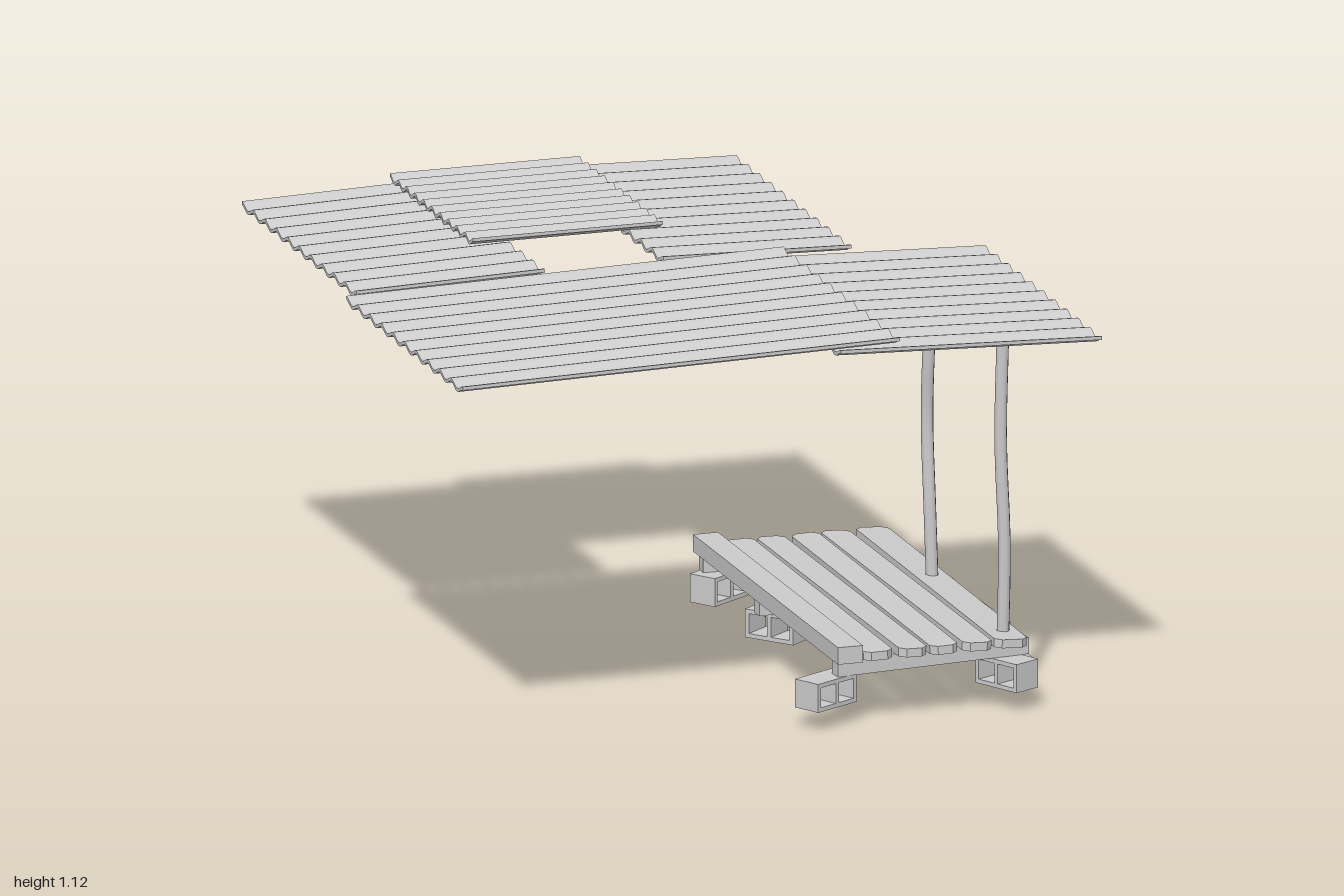
import * as THREE from 'three';

const material = new THREE.MeshStandardMaterial({ color: 0xcccccc });

function add(parent, name, geometry, x = 0, y = 0, z = 0) {
  const mesh = new THREE.Mesh(geometry, material);
  mesh.name = name;
  mesh.position.set(x, y, z);
  parent.add(mesh);
  return mesh;
}

// Corrugated sheet: wave profile along z, extruded along x, centred on the origin
function sheetGeometry(length, depth, waves = 10) {
  const amplitude = 0.008, half = 0.005, steps = waves * 8;
  const top = [], bottom = [];
  for (let i = 0; i <= steps; i++) {
    const u = (i / steps - 0.5) * depth;
    const y = amplitude * Math.cos((i / steps) * waves * Math.PI * 2);
    top.push(new THREE.Vector2(u, y + half));
    bottom.push(new THREE.Vector2(u, y - half));
  }
  const shape = new THREE.Shape([...bottom, ...top.reverse()]);
  return new THREE.ExtrudeGeometry(shape, { depth: length, bevelEnabled: false })
    .translate(0, 0, -length / 2).rotateY(Math.PI / 2);
}

// Hollow building block with two openings through its side
function blockGeometry() {
  const w = 0.155, h = 0.08, d = 0.085, wall = 0.012;
  const rect = (path, x0, y0, x1, y1) =>
    path.moveTo(x0, y0).lineTo(x1, y0).lineTo(x1, y1).lineTo(x0, y1).closePath();
  const shape = rect(new THREE.Shape(), -w / 2, -h / 2, w / 2, h / 2);
  for (const s of [-1, 1]) {
    const inner = s * wall / 2, outer = s * (w / 2 - wall);
    shape.holes.push(rect(new THREE.Path(),
      Math.min(inner, outer), -h / 2 + wall, Math.max(inner, outer), h / 2 - wall));
  }
  return new THREE.ExtrudeGeometry(shape, { depth: d, bevelEnabled: false }).translate(0, 0, -d / 2);
}

// Plank running along z with clipped corners
function plankGeometry(w, h, l) {
  const c = 0.018, x = w / 2, z = l / 2;
  const shape = new THREE.Shape([
    [-x + c, -z], [x - c, -z], [x, -z + c], [x, z - c],
    [x - c, z], [-x + c, z], [-x, z - c], [-x, -z + c],
  ].map(([a, b]) => new THREE.Vector2(a, b)));
  return new THREE.ExtrudeGeometry(shape, { depth: h, bevelEnabled: false })
    .translate(0, 0, -h / 2).rotateX(-Math.PI / 2);
}

function postGeometry(points) {
  const curve = new THREE.CatmullRomCurve3(points.map((p) => new THREE.Vector3(...p)));
  return new THREE.TubeGeometry(curve, 12, 0.018, 8);
}

export function createModel() {
  const model = new THREE.Group();
  model.name = 'shelter';

  // Roof sheets: x range, height at both ends, z range
  const roof = new THREE.Group();
  roof.name = 'roof';
  model.add(roof);
  const sheets = [
    ['frontLeftSheet', -0.92, 0.335, 1.073, 1.1, 0.01, 0.99],
    ['frontRightSheet', 0.165, 0.915, 1.079, 1.052, 0.01, 0.99],
    ['backLeftSheet', -0.885, -0.345, 1.08, 1.094, -0.97, -0.005],
    ['backRightSheet', -0.005, 0.535, 1.098, 1.083, -0.97, -0.005],
    ['backMiddleSheet', -0.45, 0.095, 1.112, 1.112, -1, -0.3],
  ];
  for (const [name, x0, x1, y0, y1, z0, z1] of sheets) {
    const sheet = add(roof, name, sheetGeometry(Math.hypot(x1 - x0, y1 - y0), z1 - z0),
      (x0 + x1) / 2, (y0 + y1) / 2, (z0 + z1) / 2);
    sheet.rotation.z = Math.atan2(y1 - y0, x1 - x0);
  }

  // Crooked posts
  add(model, 'frontPost', postGeometry([
    [0.69, 0.18, 0.815], [0.693, 0.45, 0.82], [0.684, 0.75, 0.815], [0.69, 1.058, 0.817]]));
  add(model, 'middlePost', postGeometry([
    [0.692, 0.18, 0.217], [0.688, 0.4, 0.207], [0.685, 0.65, 0.192],
    [0.683, 0.85, 0.213], [0.692, 1.058, 0.212]]));

  // Deck planks and kerb
  const deck = new THREE.Group();
  deck.name = 'deck';
  model.add(deck);
  const planks = [
    [0.305, 0.082, 0.02], [0.4, 0.08, -0.02], [0.494, 0.078, 0.03],
    [0.585, 0.084, -0.04], [0.686, 0.094, -0.05],
  ];
  planks.forEach(([x, w, roll], i) => {
    const plank = add(deck, 'plank', plankGeometry(w, 0.024, 1.21), x, 0.199, 0.31);
    plank.rotation.set(0, (i % 2 ? 1 : -1) * 0.004, roll);
  });
  add(deck, 'kerb', new THREE.BoxGeometry(0.072, 0.048, 1.22), 0.217, 0.21, 0.31);

  // Cross beams under the deck
  for (const [z, turn] of [[0.837, 0.1], [0.195, 0.05], [-0.25, -0.03]]) {
    add(deck, 'crossBeam', new THREE.BoxGeometry(0.57, 0.046, 0.04), 0.475, 0.164, z).rotation.y = turn;
  }

  // Foundation blocks: x, z, turn
  const blocks = [
    [0.165, 0.865, 0.5], [0.26, 0.18, -0.9], [0.24, -0.25, 0.6],
    [0.695, 0.835, -1.1], [0.7, 0.17, 1.1], [0.71, -0.26, 1.45],
  ];
  const blockShape = blockGeometry();
  for (const [x, z, turn] of blocks) {
    add(model, 'foundationBlock', blockShape, x, 0.101, z).rotation.y = turn;
  }

  // Leaning steps
  const steps = new THREE.Group();
  steps.name = 'steps';
  model.add(steps);
  const lean = Math.atan2(0.17, 0.14);
  for (const z of [0.295, 0.49]) {
    add(steps, 'stepRail', new THREE.BoxGeometry(0.22, 0.016, 0.016), 0.823, 0.094, z).rotation.z = -lean;
  }
  for (const [x, y, turn] of [[0.782, 0.139, 0.03], [0.82, 0.084, -0.03]]) {
    add(steps, 'tread', new THREE.BoxGeometry(0.06, 0.01, 0.24), x, y, 0.394).rotation.y = turn;
  }
  return model;
}
